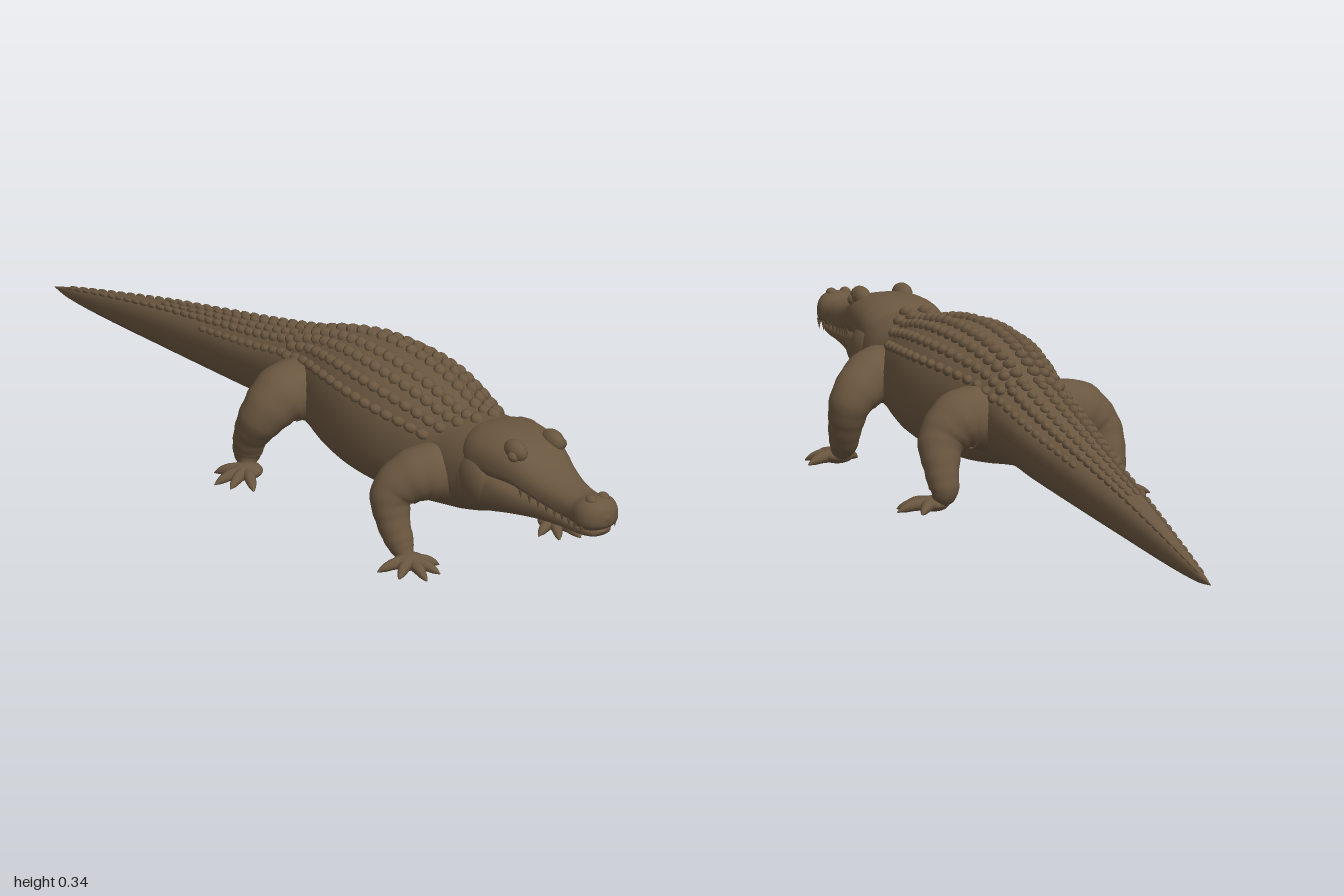
import * as THREE from 'three';
import { mergeGeometries } from 'three/addons/utils/BufferGeometryUtils.js';

// Smooth closed skin from rings of points: fn(row, angle) -> Vector3
function skin(rows, ring, fn, flip) {
  const pos = [], idx = [];
  for (let i = 0; i < rows; i++)
    for (let j = 0; j < ring; j++) pos.push(...fn(i, (j / ring) * Math.PI * 2).toArray());
  for (let i = 0; i < rows - 1; i++)
    for (let j = 0; j < ring; j++) {
      const k = (j + 1) % ring;
      const a = i * ring + j, b = a + ring, c = i * ring + k, d = c + ring;
      if (flip) idx.push(a, c, b, c, d, b);
      else idx.push(a, b, c, c, b, d);
    }
  const g = new THREE.BufferGeometry();
  g.setAttribute('position', new THREE.Float32BufferAttribute(pos, 3));
  g.setIndex(idx);
  g.computeVertexNormals();
  return g;
}

// Smooth interpolation of a table whose first column is z, falling
function sample(t, z) {
  let i = 0;
  while (i < t.length - 2 && z < t[i + 1][0]) i++;
  const a = t[i], b = t[i + 1], p = t[Math.max(i - 1, 0)], n = t[Math.min(i + 2, t.length - 1)];
  const h = b[0] - a[0], u = (z - a[0]) / h, u2 = u * u, u3 = u2 * u;
  return a.map((v, c) => {
    const m0 = ((b[c] - p[c]) / (b[0] - p[0])) * h, m1 = ((n[c] - a[c]) / (n[0] - a[0])) * h;
    return (2 * u3 - 3 * u2 + 1) * v + (u3 - 2 * u2 + u) * m0 + (3 * u2 - 2 * u3) * b[c] + (u3 - u2) * m1;
  });
}

// Point on a section: [z, half width, bottom, widest height, top]
function surface(table, z, angle, e) {
  const [, w, yb, ym, yt] = sample(table, z);
  const c = Math.cos(angle), s = Math.sin(angle);
  const x = Math.sign(c) * Math.max(w, 0) * Math.abs(c) ** e;
  const y = s > 0 ? ym + (yt - ym) * s ** e : ym - (ym - yb) * Math.abs(s) ** e;
  return new THREE.Vector3(x, y, z);
}

function loft(table, e) {
  const zs = [];
  const steps = 6;
  for (let i = 0; i < table.length - 1; i++)
    for (let k = 0; k < steps; k++) zs.push(THREE.MathUtils.lerp(table[i][0], table[i + 1][0], k / steps));
  zs.push(table[table.length - 1][0]);
  return skin(zs.length, 36, (i, a) => surface(table, zs[i], a, e), false);
}

// Tapered limb along points [x, y, z, radius]
function limb(points, ref, ripple = 0, ring = 18, rows = 36) {
  const curve = new THREE.CatmullRomCurve3(points.map(p => new THREE.Vector3(p[0], p[1], p[2])));
  const radii = new THREE.CatmullRomCurve3(points.map(p => new THREE.Vector3(p[3], 0, 0)), false, 'catmullrom');
  return skin(rows, ring, (i, a) => {
    const t = i / (rows - 1), T = curve.getTangent(t);
    const N = new THREE.Vector3().crossVectors(T, ref).normalize();
    const B = new THREE.Vector3().crossVectors(T, N);
    const r = radii.getPoint(t).x * (1 + ripple * Math.sin(t * 60));
    return curve.getPoint(t).addScaledVector(N, r * Math.cos(a)).addScaledVector(B, r * Math.sin(a));
  }, true);
}

const BODY = [
  [0.72, 0.05, 0.17, 0.21, 0.26], [0.64, 0.09, 0.125, 0.2, 0.305], [0.57, 0.104, 0.1, 0.19, 0.3],
  [0.5, 0.106, 0.083, 0.18, 0.294], [0.42, 0.124, 0.07, 0.175, 0.31], [0.33, 0.14, 0.062, 0.172, 0.322],
  [0.23, 0.141, 0.058, 0.172, 0.324], [0.12, 0.125, 0.063, 0.175, 0.313], [0.02, 0.1, 0.076, 0.18, 0.288],
  [-0.08, 0.092, 0.085, 0.175, 0.25], [-0.2, 0.083, 0.07, 0.155, 0.215], [-0.4, 0.061, 0.048, 0.115, 0.167],
  [-0.6, 0.041, 0.028, 0.075, 0.12], [-0.8, 0.022, 0.009, 0.036, 0.066], [-0.94, 0.009, 0.001, 0.012, 0.025],
  [-1, 0, 0.005, 0.005, 0.005],
];
const UPPER = [
  [1, 0, 0.234, 0.234, 0.234], [0.995, 0.022, 0.216, 0.233, 0.253], [0.98, 0.039, 0.205, 0.23, 0.267],
  [0.955, 0.047, 0.2, 0.228, 0.271], [0.92, 0.043, 0.202, 0.226, 0.262], [0.86, 0.048, 0.206, 0.226, 0.267],
  [0.8, 0.06, 0.213, 0.236, 0.283], [0.745, 0.074, 0.222, 0.25, 0.306], [0.67, 0.088, 0.215, 0.25, 0.316],
  [0.6, 0.086, 0.2, 0.24, 0.308], [0.54, 0.04, 0.2, 0.23, 0.28],
];
const LOWER = [
  [0.985, 0, 0.2, 0.2, 0.2], [0.975, 0.024, 0.189, 0.2, 0.211], [0.94, 0.038, 0.183, 0.198, 0.212],
  [0.88, 0.042, 0.177, 0.195, 0.213], [0.8, 0.055, 0.165, 0.195, 0.225], [0.72, 0.082, 0.149, 0.2, 0.245],
  [0.64, 0.099, 0.128, 0.195, 0.265], [0.58, 0.096, 0.115, 0.19, 0.26], [0.53, 0.05, 0.13, 0.18, 0.22],
];

// Low bump standing on the body skin
function scute(z, angle, w, h, l) {
  const p = surface(BODY, z, angle, 0.88);
  const du = surface(BODY, z, angle + 0.02, 0.88).sub(surface(BODY, z, angle - 0.02, 0.88)).normalize();
  const dv = surface(BODY, z + 0.01, angle, 0.88).sub(surface(BODY, z - 0.01, angle, 0.88)).normalize();
  const n = new THREE.Vector3().crossVectors(dv, du).normalize();
  if (n.dot(new THREE.Vector3(p.x, 0.1, 0)) < 0) n.negate();
  const x = new THREE.Vector3().crossVectors(n, dv).normalize();
  const g = new THREE.SphereGeometry(1, 8, 6).scale(w, h, l);
  // raised keel toward the rear of each scute
  const a = g.attributes.position;
  for (let i = 0; i < a.count; i++) a.setZ(i, a.getZ(i) - Math.max(a.getY(i), 0) * 0.4);
  g.computeVertexNormals();
  return g.applyMatrix4(new THREE.Matrix4().makeBasis(x, n, dv).setPosition(p));
}

export function createModel() {
  const model = new THREE.Group();
  const hide = new THREE.MeshStandardMaterial({ color: 0x6b5740 });
  hide.name = 'brown hide';
  const add = (name, geometry) => {
    const mesh = new THREE.Mesh(geometry, hide);
    mesh.name = name;
    model.add(mesh);
    return mesh;
  };
  const ball = (x, y, z, a, b, c) => new THREE.SphereGeometry(1, 16, 10).scale(a, b, c).translate(x, y, z);

  add('bodyAndTail', loft(BODY, 0.88));
  add('upperHead', loft(UPPER, 0.8));
  add('lowerJaw', loft(LOWER, 0.8));

  // Rows of back armour, then the converging tail crests
  const back = [], tail = [];
  [0.16, 0.42, 0.7, 0.98].forEach((off, row) => {
    for (let z = 0.56 - row * 0.03; z > -0.06; z -= 0.034)
      for (const s of [-1, 1])
        back.push(scute(z, Math.PI / 2 + s * off, 0.014 - row * 0.001, 0.013 - row * 0.001, 0.016));
  });
  for (let z = -0.07; z > -0.96; z -= 0.032) {
    const k = THREE.MathUtils.mapLinear(z, -0.07, -0.96, 1, 0.22);
    for (const s of [-1, 1]) {
      tail.push(scute(z, Math.PI / 2 + s * 0.5, 0.011 * k, 0.013 * k, 0.016));
      if (z > -0.6) tail.push(scute(z, Math.PI / 2 + s * 0.16, 0.011 * k, 0.01 * k, 0.015));
      if (z > -0.4) tail.push(scute(z, Math.PI / 2 + s * 0.9, 0.01 * k, 0.008 * k, 0.014));
    }
  }
  add('backScutes', mergeGeometries(back));
  add('tailScutes', mergeGeometries(tail));

  for (const s of [-1, 1]) {
    const side = s > 0 ? 'left' : 'right';

    // Head details
    add(side + 'Brow', ball(s * 0.046, 0.3, 0.735, 0.019, 0.023, 0.034));
    add(side + 'Eye', ball(s * 0.058, 0.294, 0.745, 0.012, 0.012, 0.014));
    add(side + 'Nostril', ball(s * 0.015, 0.267, 0.962, 0.011, 0.01, 0.015));
    add(side + 'Jowl', ball(s * 0.078, 0.205, 0.635, 0.026, 0.055, 0.055));
    const teeth = [];
    for (let z = 0.965; z > 0.76; z -= 0.024) {
      const w = sample(UPPER, z)[1], y = sample(UPPER, z)[2];
      teeth.push(new THREE.ConeGeometry(0.005, 0.022, 6).rotateX(Math.PI).translate(s * w * 0.9, y + 0.004, z));
    }
    add(side + 'Teeth', mergeGeometries(teeth));

    // Legs: joint paths with radii, foot centre, toe tips
    const legs = {
      FrontLeg: {
        path: [[0.06, 0.18, 0.53, 0.06], [0.12, 0.182, 0.5, 0.058], [0.174, 0.142, 0.477, 0.046],
          [0.182, 0.09, 0.49, 0.036], [0.178, 0.042, 0.513, 0.028], [0.178, 0.016, 0.535, 0.014]],
        foot: [0.178, 0.545],
        toes: [[0.248, 0.53], [0.232, 0.585], [0.19, 0.625], [0.147, 0.61], [0.122, 0.57]],
      },
      HindLeg: {
        path: [[0.06, 0.175, 0.015, 0.066], [0.125, 0.18, 0.015, 0.063], [0.172, 0.14, 0.008, 0.05],
          [0.184, 0.085, -0.02, 0.036], [0.184, 0.042, -0.032, 0.029], [0.192, 0.016, -0.022, 0.014]],
        foot: [0.2, -0.012],
        toes: [[0.245, -0.062], [0.279, -0.012], [0.265, 0.025], [0.232, 0.062]],
      },
    };
    for (const [name, { path, foot, toes }] of Object.entries(legs)) {
      add(side + name, limb(path.map(([x, y, z, r]) => [s * x, y, z, r]), new THREE.Vector3(0, 0, 1), 0.018));
      add(side + name + 'Foot', ball(s * foot[0], 0.016, foot[1], 0.034, 0.016, 0.034));
      const parts = toes.map(([x, z]) => {
        const at = (t, y, r) => [s * THREE.MathUtils.lerp(foot[0], x, t), y, THREE.MathUtils.lerp(foot[1], z, t), r];
        return limb([at(0.1, 0.016, 0.014), at(0.5, 0.015, 0.012), at(0.8, 0.009, 0.008), at(1, 0.003, 0.001)],
          new THREE.Vector3(0, 1, 0), 0, 10, 12);
      });
      add(side + name + 'Toes', mergeGeometries(parts));
    }
  }
  return model;
}
